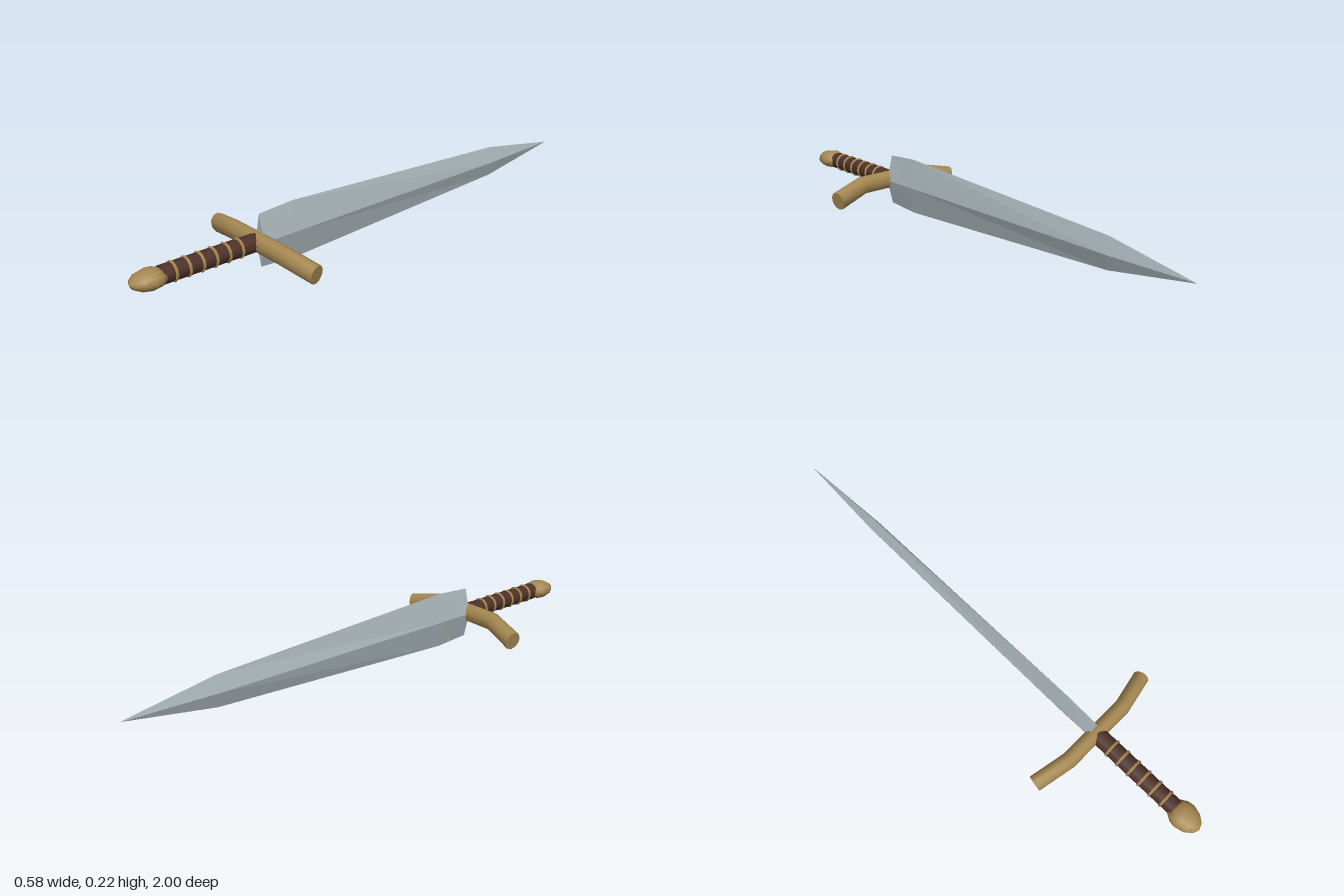
import * as THREE from 'three';

const Y = 0.113; // height of the long axis

// Skin a row of closed rings; rings run counter-clockwise about the direction of travel
function loft(rings) {
  const n = rings[0].length, pos = [], idx = [];
  rings.forEach(r => r.forEach(p => pos.push(...p)));
  for (let i = 0; i < rings.length - 1; i++) {
    for (let j = 0; j < n; j++) {
      const a = i * n + j, b = i * n + (j + 1) % n;
      idx.push(a, b, b + n, a, b + n, a + n);
    }
  }
  // flat end caps on their own vertices
  const start = pos.length / 3;
  [...rings[0], ...rings[rings.length - 1]].forEach(p => pos.push(...p));
  for (let j = 1; j < n - 1; j++) {
    idx.push(start, start + j + 1, start + j);
    idx.push(start + n, start + n + j, start + n + j + 1);
  }
  const g = new THREE.BufferGeometry();
  g.setAttribute('position', new THREE.Float32BufferAttribute(pos, 3));
  g.setIndex(idx);
  g.computeVertexNormals();
  return g;
}

export function createModel() {
  const steel = new THREE.MeshStandardMaterial({ color: 0xa9b5ba });
  steel.name = 'steel';
  steel.flatShading = true;
  const brass = new THREE.MeshStandardMaterial({ color: 0xa58852 });
  brass.name = 'brass';
  const leather = new THREE.MeshStandardMaterial({ color: 0x4e3128 });
  leather.name = 'leather';

  const model = new THREE.Group();
  const add = (name, geometry, material) => {
    const mesh = new THREE.Mesh(geometry, material);
    mesh.name = name;
    model.add(mesh);
    return mesh;
  };

  // Blade: diamond sections [z, half width, half height], from tip to base
  const sections = [[-1, 0.001, 0.001], [-0.65, 0.02, 0.06], [0.36, 0.025, 0.109], [0.5, 0.025, 0.099]];
  add('blade', loft(sections.map(([z, w, h]) =>
    [[w, Y, z], [0, Y + h, z], [-w, Y, z], [0, Y - h, z]])), steel);

  // Crossguard: oval bar whose arms droop and sweep toward the blade
  const stations = [[-0.279, 0.081, 0.48, 1], [-0.14, 0.112, 0.511, 0.5],
    [0.14, 0.112, 0.511, -0.5], [0.279, 0.081, 0.48, -1]];
  const sides = 10;
  add('crossguard', loft(stations.map(([x, y, z, tilt]) => {
    const ring = [];
    for (let j = 0; j < sides; j++) {
      const a = j / sides * Math.PI * 2 + Math.PI / 2;
      const dy = Math.sin(a + 0) * 0.036, dz = -Math.cos(a) * 0.03;
      ring.push([x - tilt * 0.22 * (dy + dz), y + dy, z - 0 + dz]);
    }
    return ring.reverse();
  }).map(r => r.reverse())), brass);

  // Grip
  const grip = add('grip', new THREE.CylinderGeometry(0.033, 0.033, 0.37, 12).rotateX(Math.PI / 2), leather);
  grip.position.set(0, Y, 0.705);

  // Wire bands round the grip
  for (let i = 0; i < 6; i++) {
    const band = add('gripBand', new THREE.TorusGeometry(0.032, 0.006, 6, 12), brass);
    band.position.set(0, Y, 0.59 + i * 0.051);
  }

  // Pommel: flattened egg
  const profile = [[0, 0.875], [0.033, 0.88], [0.049, 0.905], [0.053, 0.93],
    [0.044, 0.965], [0.024, 0.99], [0, 1]].map(([r, z]) => new THREE.Vector2(r, z));
  const pommel = add('pommel', new THREE.LatheGeometry(profile, 12).rotateX(Math.PI / 2), brass);
  pommel.scale.y = 0.67;
  pommel.position.y = Y;

  // Rest the blade edge on the ground and centre the length
  const box = new THREE.Box3().setFromObject(model);
  model.children.forEach(m => { m.position.y -= box.min.y; });
  return model;
}
